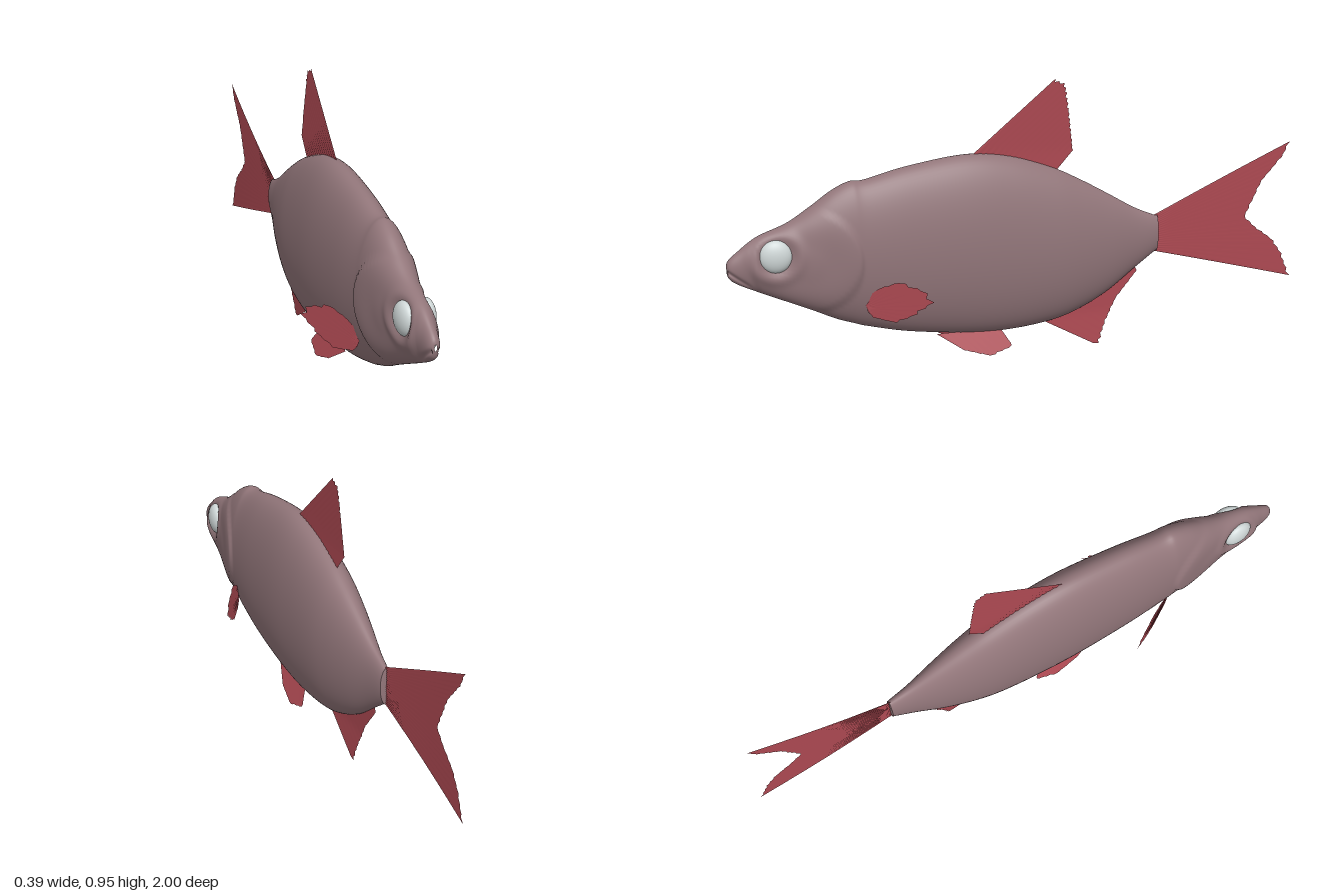
import * as THREE from 'three';

const skin = new THREE.MeshStandardMaterial({ color: 0x92767a });
skin.name = 'dusky rose skin';
const finRed = new THREE.MeshStandardMaterial({ color: 0xad4952, side: THREE.DoubleSide });
finRed.name = 'red fin';
const eyeWhite = new THREE.MeshStandardMaterial({ color: 0xd0d8d8 });
eyeWhite.name = 'pale eye';

const smooth = THREE.MathUtils.smoothstep;
const bump = (d, width) => Math.exp(-((d / width) ** 2));

// Body stations from snout to tail: z, half width, top y, bottom y
const stations = [
  [1.0, 0.004, 0.435, 0.415], [0.992, 0.017, 0.452, 0.39], [0.965, 0.026, 0.475, 0.368],
  [0.9, 0.036, 0.52, 0.335], [0.8, 0.053, 0.557, 0.288], [0.72, 0.07, 0.605, 0.25],
  [0.65, 0.08, 0.652, 0.215], [0.59, 0.086, 0.678, 0.192], [0.54, 0.09, 0.679, 0.175],
  [0.4, 0.1, 0.71, 0.14], [0.2, 0.108, 0.733, 0.111], [0.05, 0.106, 0.715, 0.105],
  [-0.1, 0.098, 0.663, 0.12], [-0.2, 0.084, 0.612, 0.15], [-0.3, 0.063, 0.553, 0.2],
  [-0.4, 0.038, 0.492, 0.272], [-0.475, 0.023, 0.457, 0.325], [-0.485, 0.018, 0.452, 0.332],
  [-0.486, 0.001, 0.393, 0.391],
];

// Sideways relief: gill cover, eye socket and mouth line
function relief(z, y) {
  const gill = Math.hypot(z - 0.745, y - 0.43);
  const eye = Math.hypot(z - 0.845, y - 0.46);
  const mouth = Math.abs(y - 0.418 - (z - 1) * 0.8);
  let d = 0.009 * (1 - smooth(gill, 0.165, 0.185)) * smooth(gill, 0.05, 0.16);
  d += 0.006 * bump(eye - 0.08, 0.018) - 0.01 * (1 - smooth(eye, 0.04, 0.07));
  d -= 0.007 * bump(mouth, 0.008) * smooth(z, 0.91, 0.94);
  return d;
}

function bodyGeometry() {
  const rings = 150, sides = 72, pos = [], idx = [];
  const side = new THREE.SplineCurve(stations.map(s => new THREE.Vector2(s[0], s[1])));
  const height = new THREE.SplineCurve(stations.map(s => new THREE.Vector2(s[2], s[3])));
  for (let i = 0; i <= rings; i++) {
    const a = side.getPoint(i / rings), b = height.getPoint(i / rings);
    for (let j = 0; j < sides; j++) {
      const t = (j / sides) * Math.PI * 2, c = Math.cos(t);
      const y = (b.x + b.y) / 2 + Math.sin(t) * (b.x - b.y) / 2;
      const grow = a.y > 0.012 ? relief(a.x, y) : 0;
      pos.push(c * Math.max(a.y + grow, 0.001), y, a.x);
      if (i < rings) {
        const k = (j + 1) % sides, p = i * sides, q = p + sides;
        idx.push(p + j, q + j, p + k, p + k, q + j, q + k);
      }
    }
  }
  const g = new THREE.BufferGeometry();
  g.setAttribute('position', new THREE.Float32BufferAttribute(pos, 3));
  g.setIndex(idx);
  g.computeVertexNormals();
  return g;
}

// Point at fraction t of the length of a (z, y) polyline
function along(points, t) {
  const path = new THREE.CurvePath();
  for (let i = 1; i < points.length; i++) {
    path.add(new THREE.LineCurve(new THREE.Vector2(...points[i - 1]), new THREE.Vector2(...points[i])));
  }
  return path.getPoint(t);
}

// Thin fin spread from a root line to an outer edge, pleated by its rays
function fin(name, root, edge, rays, place, ragged = 0.03) {
  const steps = 6, pos = [], idx = [];
  for (let i = 0; i <= rays; i++) {
    const r = along(root, i / rays), e = along(edge, i / rays);
    const inner = i > 0 && i < rays;
    const reach = inner ? 1 - ragged * (i % 2) - ragged * 0.5 * Math.abs(Math.sin(i * 2.3)) : 1;
    for (let j = 0; j <= steps; j++) {
      const p = r.clone().lerp(e, (j / steps) * reach);
      const pleat = (i % 2 ? 0.0012 : -0.0012) * (1 - j / steps);
      pos.push(place(p.x, p.y) + pleat, p.y, p.x);
      if (i < rays && j < steps) {
        const a = i * (steps + 1) + j, b = a + steps + 1;
        idx.push(a, b, a + 1, a + 1, b, b + 1);
      }
    }
  }
  const g = new THREE.BufferGeometry();
  g.setAttribute('position', new THREE.Float32BufferAttribute(pos, 3));
  g.setIndex(idx);
  g.computeVertexNormals();
  const mesh = new THREE.Mesh(g, finRed);
  mesh.name = name;
  return mesh;
}

export function createModel() {
  const fish = new THREE.Group();
  fish.name = 'fish';

  const body = new THREE.Mesh(bodyGeometry(), skin);
  body.name = 'body';
  fish.add(body);

  // Fins on the centre line
  fish.add(fin('dorsalFin', [[0.18, 0.725], [0.03, 0.69], [-0.11, 0.64]],
    [[-0.11, 0.967], [-0.13, 0.96], [-0.15, 0.945], [-0.165, 0.83], [-0.177, 0.715]],
    30, (z, y) => Math.max(0, y - 0.72) * 0.042, 0.025));
  fish.add(fin('tailFin', [[-0.47, 0.455], [-0.47, 0.328]],
    [[-0.98, 0.675], [-0.96, 0.63], [-0.88, 0.54], [-0.82, 0.415], [-0.865, 0.37],
      [-0.925, 0.325], [-0.965, 0.27], [-1.0, 0.178]],
    40, (z, y) => 0.004 * Math.sin((z + 0.47) * 6), 0.012));
  fish.add(fin('analFin', [[-0.06, 0.125], [-0.2, 0.165], [-0.4, 0.29]],
    [[-0.255, 0.015], [-0.275, 0.008], [-0.3, 0.085], [-0.34, 0.17], [-0.415, 0.262]],
    26, (z, y) => Math.max(0, 0.13 - y) * 0.08));

  // Paired fins and eyes
  for (const s of [1, -1]) {
    const side = s > 0 ? 'left' : 'right';
    fish.add(fin(side + 'PectoralFin', [[0.565, 0.285], [0.555, 0.25]],
      [[0.56, 0.3], [0.52, 0.338], [0.46, 0.367], [0.385, 0.343], [0.36, 0.305],
        [0.42, 0.25], [0.475, 0.22], [0.54, 0.232]],
      26, z => s * (0.066 + (0.565 - z) * 0.64), 0.06));
    fish.add(fin(side + 'PelvicFin', [[0.31, 0.122], [0.09, 0.122]],
      [[0.22, 0.062], [0.13, 0.035], [0.05, 0.058], [0.07, 0.09]],
      16, (z, y) => s * (0.018 + (0.122 - y) * 0.48)));

    const eye = new THREE.Mesh(new THREE.SphereGeometry(1, 32, 24), eyeWhite);
    eye.name = side + 'Eye';
    eye.scale.set(0.028, 0.055, 0.053);
    eye.position.set(s * 0.035, 0.46, 0.845);
    eye.rotation.y = -s * 0.12;
    fish.add(eye);
  }
  return fish;
}
